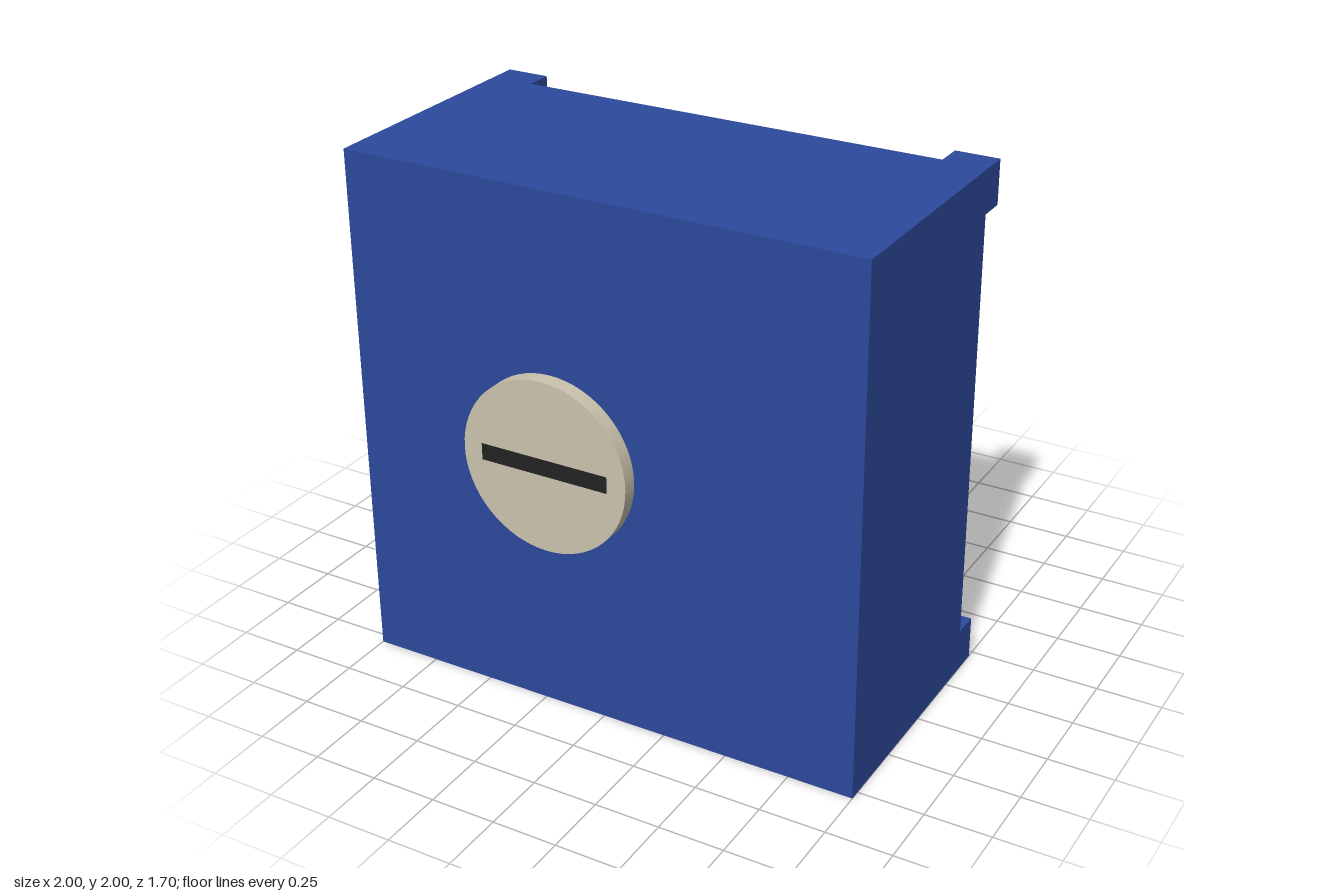
import * as THREE from 'three';

const material = (name, color) => {
  const m = new THREE.MeshStandardMaterial({ color });
  m.name = name;
  return m;
};

export function createModel() {
  const model = new THREE.Group();
  model.name = 'trimmerPotentiometer';

  const blue = material('blue plastic', 0x2c4a9c);
  const cream = material('cream plastic', 0xcbc3ae);
  const black = material('slot black', 0x222222);
  const metal = material('pin metal', 0xc0c0b8);

  const add = (name, geometry, mat, x, y, z) => {
    const mesh = new THREE.Mesh(geometry, mat);
    mesh.name = name;
    mesh.position.set(x, y, z);
    model.add(mesh);
  };
  // Cylinder lying along z
  const rod = (radius, length, sides) =>
    new THREE.CylinderGeometry(radius, radius, length, sides).rotateX(Math.PI / 2);

  // Housing
  const front = 0.79, back = -0.115;
  add('housing', new THREE.BoxGeometry(2, 2, front - back), blue, 0, 1, (front + back) / 2);

  // Standoff feet at the four back corners
  const foot = 0.167, footDepth = 0.105;
  const footGeometry = new THREE.BoxGeometry(foot, foot, footDepth);
  for (const sx of [-1, 1]) {
    for (const sy of [-1, 1]) {
      add('standoffFoot', footGeometry, blue,
        sx * (1 - foot / 2), 1 + sy * (1 - foot / 2), back - footDepth / 2);
    }
  }

  // Adjustment screw with its slot
  const screwX = -0.185, screwFront = 0.848;
  add('adjustmentScrew', rod(0.33, screwFront - front, 64), cream, screwX, 1, (front + screwFront) / 2);
  add('screwSlot', new THREE.BoxGeometry(0.51, 0.063, 0.004), black, screwX, 1, screwFront);

  // Three pins, the middle one offset sideways
  const pinEnd = -0.85;
  const pinGeometry = rod(0.052, back - pinEnd, 24);
  for (const [x, y] of [[0, 1.535], [0.53, 1], [0, 0.465]]) {
    add('pin', pinGeometry, metal, x, y, (back + pinEnd) / 2);
  }

  return model;
}
